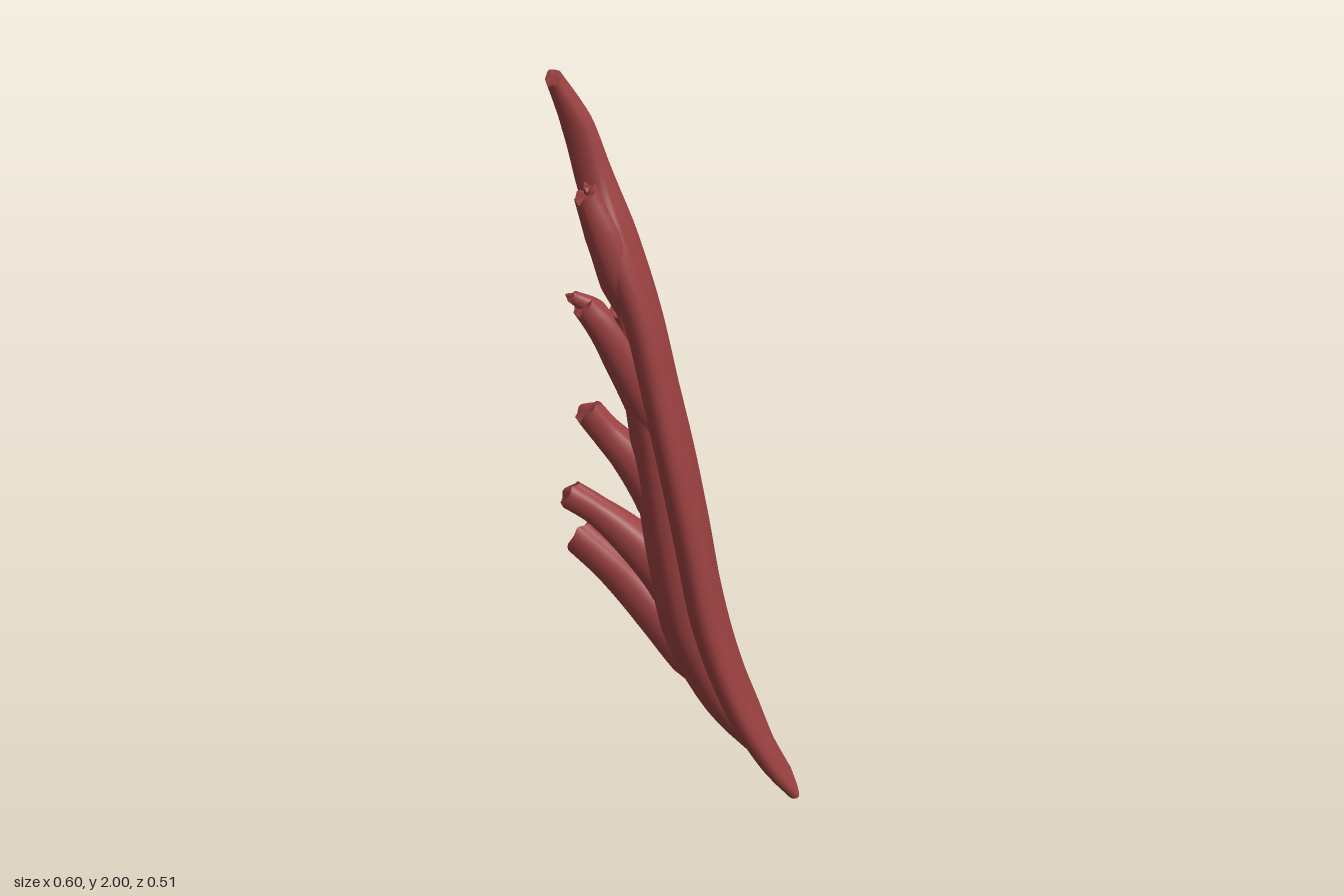
import * as THREE from 'three';

const SIDES = 28;
const V = (p) => new THREE.Vector3(p[0], p[1], p[2]);

// Skin over two rails (front edge, back edge) with an oval, lightly grooved section.
function loft(front, back, thick, steps, groove, jagStart, jagEnd) {
  const fc = new THREE.CatmullRomCurve3(front);
  const bc = new THREE.CatmullRomCurve3(back);
  const pos = [], idx = [], rings = [];
  for (let i = 0; i <= steps; i++) {
    const s = i / steps;
    const f = fc.getPoint(s), b = bc.getPoint(s);
    const c = f.clone().add(b).multiplyScalar(0.5);
    const u = b.clone().sub(f).multiplyScalar(0.5);
    const t = fc.getTangent(s).add(bc.getTangent(s)).normalize();
    const k = s * (thick.length - 1), k0 = Math.min(Math.floor(k), thick.length - 2);
    const h = THREE.MathUtils.lerp(thick[k0], thick[k0 + 1], k - k0);
    const n = t.clone().cross(u).normalize().multiplyScalar(h);
    const ring = [];
    for (let j = 0; j < SIDES; j++) {
      const a = (j / SIDES) * Math.PI * 2;
      const g = 1 + groove * (Math.sin(5 * a + 2 * s) + 0.6 * Math.sin(9 * a - 3 * s));
      const p = c.clone()
        .addScaledVector(u, Math.cos(a))
        .addScaledVector(n, Math.sign(Math.sin(a)) * Math.abs(Math.sin(a)) ** 0.85 * g);
      // unevenly broken ends
      const jag = Math.sin(2 * a + 0.6) + 0.5 * Math.sin(5 * a);
      if (i === 0) p.addScaledVector(t, jagStart * Math.abs(jag));
      if (i === steps) p.addScaledVector(t, jagEnd * jag);
      ring.push(p);
      pos.push(p.x, p.y, p.z);
    }
    rings.push(ring);
  }
  for (let i = 0; i < steps; i++) {
    for (let j = 0; j < SIDES; j++) {
      const a = i * SIDES + j, b = i * SIDES + ((j + 1) % SIDES);
      idx.push(a, b, b + SIDES, a, b + SIDES, a + SIDES);
    }
  }
  // caps with their own vertices so the broken ends stay crisp
  for (const [ring, flip] of [[rings[0], true], [rings[steps], false]]) {
    const base = pos.length / 3;
    const c = new THREE.Vector3();
    ring.forEach((p) => { c.add(p); pos.push(p.x, p.y, p.z); });
    c.divideScalar(SIDES);
    pos.push(c.x, c.y, c.z);
    for (let j = 0; j < SIDES; j++) {
      const a = base + j, b = base + ((j + 1) % SIDES);
      if (flip) idx.push(b, a, base + SIDES);
      else idx.push(a, b, base + SIDES);
    }
  }
  const geo = new THREE.BufferGeometry();
  geo.setAttribute('position', new THREE.Float32BufferAttribute(pos, 3));
  geo.setIndex(idx);
  geo.computeVertexNormals();
  return geo;
}

// Side shoot along points [x, y, z, radius]
function branch(points) {
  const first = V(points[0]), last = V(points[points.length - 1]);
  const side = last.clone().sub(first).cross(new THREE.Vector3(0, 1, 0)).normalize();
  const front = points.map((p) => V(p).addScaledVector(side, -p[3]));
  const back = points.map((p) => V(p).addScaledVector(side, p[3]));
  return loft(front, back, points.map((p) => p[3]), 24, 0.05, 0, 0.007);
}

export function createModel() {
  const group = new THREE.Group();
  group.name = 'woodBranch';
  const material = new THREE.MeshStandardMaterial({ color: 0x9a4040 });
  const add = (name, geo) => {
    const mesh = new THREE.Mesh(geo, material);
    mesh.name = name;
    group.add(mesh);
  };

  // main blade: front edge, back edge, half thickness, from the foot up
  const blade = [
    [[0.288, -0.005, 0.235], [0.248, 0.18, 0.035], 0.028],
    [[0.205, 0.1, 0.245], [0.228, 0.26, 0.032], 0.036],
    [[0.09, 0.3, 0.25], [0.17, 0.42, 0.035], 0.042],
    [[0.0, 0.55, 0.24], [0.115, 0.62, 0.04], 0.046],
    [[-0.05, 0.8, 0.23], [0.075, 0.82, 0.045], 0.046],
    [[-0.09, 1.0, 0.22], [0.035, 1.02, 0.045], 0.045],
    [[-0.125, 1.2, 0.2], [-0.01, 1.2, 0.045], 0.044],
    [[-0.16, 1.4, 0.175], [-0.053, 1.4, 0.03], 0.045],
    [[-0.207, 1.58, 0.13], [-0.107, 1.6, 0.015], 0.047],
    [[-0.225, 1.73, 0.065], [-0.16, 1.74, 0.004], 0.045],
    [[-0.247, 1.86, 0.045], [-0.21, 1.88, -0.008], 0.038],
    [[-0.295, 1.98, 0.038], [-0.27, 1.997, -0.021], 0.02],
  ];
  add('blade', loft(blade.map((s) => V(s[0])), blade.map((s) => V(s[1])),
    blade.map((s) => s[2]), 80, 0.06, 0.013, 0.003));

  // thick web on the back that the shoots grow from, then the shoots, lowest first
  const shoots = {
    backRidge: [[0.255, 0.09, 0.17, 0.022], [0.13, 0.28, 0.12, 0.046], [0.03, 0.52, 0.1, 0.064],
      [-0.03, 0.8, 0.1, 0.058], [-0.08, 1.1, 0.1, 0.05], [-0.145, 1.42, 0.09, 0.035]],
    lowestBranch: [[0.17, 0.25, 0.11, 0.02], [0.065, 0.41, 0.068, 0.06], [-0.005, 0.535, -0.015, 0.058],
      [-0.063, 0.622, -0.13, 0.046], [-0.108, 0.678, -0.216, 0.044]],
    lowerBranch: [[0.08, 0.44, 0.11, 0.03], [0.01, 0.62, 0.07, 0.06], [-0.07, 0.745, 0.005, 0.05],
      [-0.145, 0.825, -0.05, 0.037], [-0.204, 0.873, -0.086, 0.037]],
    middleBranch: [[0.02, 0.7, 0.12, 0.03], [-0.04, 0.88, 0.08, 0.056], [-0.105, 1.0, 0.048, 0.047],
      [-0.16, 1.075, 0.02, 0.038], [-0.2, 1.133, 0.005, 0.036]],
    upperBranch: [[-0.03, 1.0, 0.13, 0.03], [-0.095, 1.17, 0.105, 0.05], [-0.155, 1.3, 0.088, 0.046],
      [-0.2, 1.38, 0.078, 0.038], [-0.24, 1.435, 0.065, 0.03]],
    topTine: [[-0.11, 1.36, 0.12, 0.03], [-0.165, 1.5, 0.105, 0.047], [-0.205, 1.62, 0.092, 0.042],
      [-0.24, 1.715, 0.078, 0.028]],
    tineSplinter: [[-0.17, 1.56, 0.08, 0.025], [-0.2, 1.65, 0.075, 0.028], [-0.228, 1.735, 0.075, 0.014]],
    branchSplinter: [[-0.15, 1.32, 0.07, 0.02], [-0.2, 1.41, 0.055, 0.026], [-0.263, 1.458, 0.045, 0.015]],
  };
  for (const [name, points] of Object.entries(shoots)) add(name, branch(points));

  return group;
}
